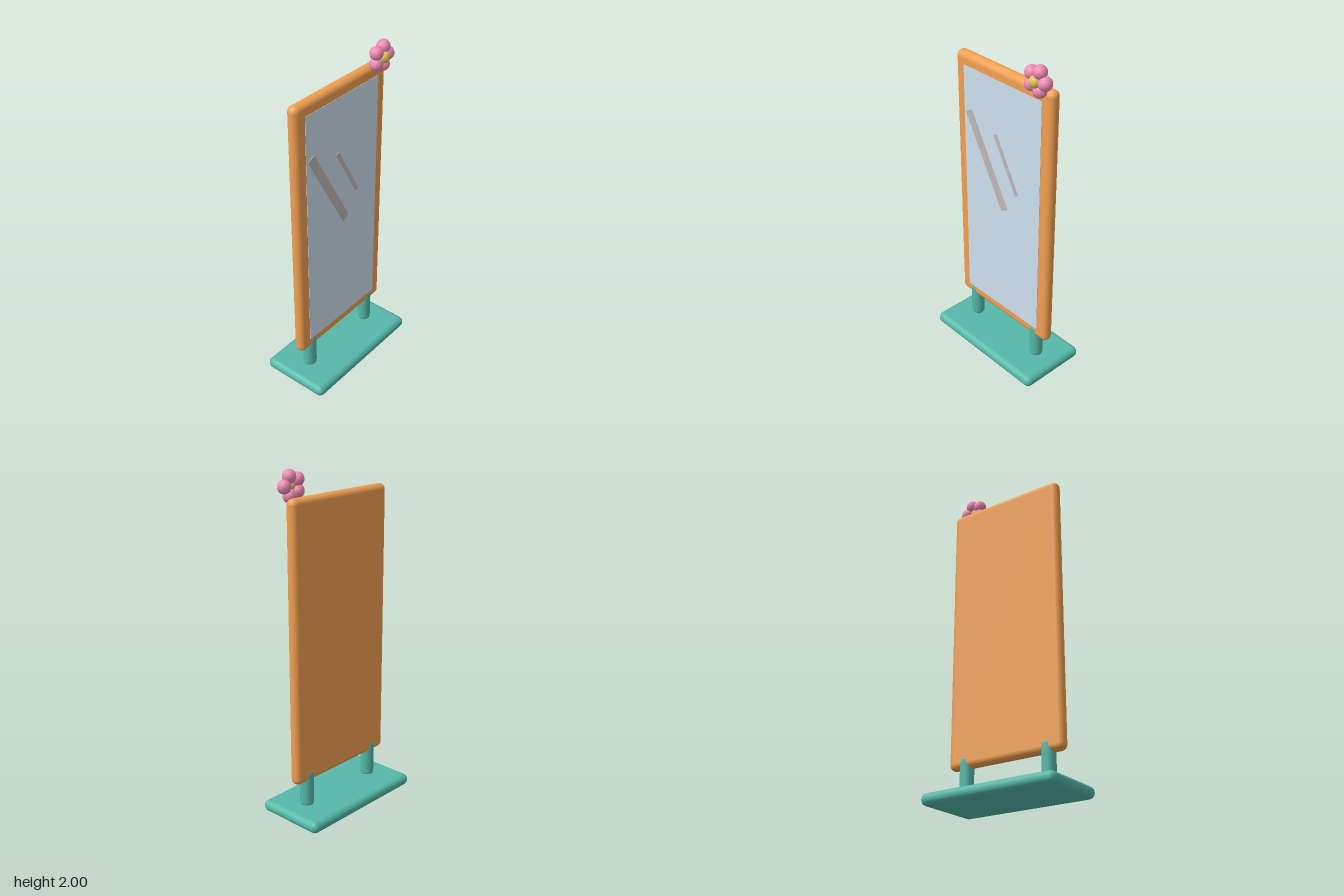
import * as THREE from 'three';
import { RoundedBoxGeometry } from 'three/addons/geometries/RoundedBoxGeometry.js';

const material = (color) => new THREE.MeshStandardMaterial({ color });

export function createModel() {
  const model = new THREE.Group();
  model.name = 'standingMirror';

  const teal = material(0x55b8a9);
  const orange = material(0xf2a052);
  const glass = material(0xcde0ee);
  const shine = material(0xc0b9b6);
  const pink = material(0xf08cb4);
  const yellow = material(0xe8bf55);

  function add(name, geometry, mat, x, y, z, parent = model) {
    const mesh = new THREE.Mesh(geometry, mat);
    mesh.name = name;
    mesh.position.set(x, y, z);
    parent.add(mesh);
    return mesh;
  }

  // Foot plate and the two round-ended posts
  add('base', new RoundedBoxGeometry(0.84, 0.07, 0.43, 4, 0.034), teal, 0, 0.035, 0);
  const post = new THREE.CapsuleGeometry(0.04, 0.18, 6, 16);
  for (const side of [-1, 1]) {
    add(side > 0 ? 'leftPost' : 'rightPost', post, teal, side * 0.265, 0.175, 0);
  }

  // Solid frame panel with the glass set on its front
  add('frame', new RoundedBoxGeometry(0.744, 1.636, 0.07, 4, 0.034), orange, 0, 1.04, 0);
  add('mirrorGlass', new THREE.BoxGeometry(0.6, 1.5, 0.01), glass, 0, 1.04, 0.032);

  // Slanted shine streaks: x, y, width, length
  const streaks = [[-0.12, 1.265, 0.055, 0.6], [0.037, 1.303, 0.026, 0.36]];
  for (const [x, y, width, length] of streaks) {
    const streak = add('shineStreak', new THREE.BoxGeometry(width, length, 0.004), shine, x, y, 0.038);
    streak.rotation.z = 0.5;
  }

  // Flower on the top left corner
  const flower = new THREE.Group();
  flower.name = 'flower';
  flower.position.set(0.29, 1.911, 0.059);
  model.add(flower);
  const petal = new THREE.SphereGeometry(0.0385, 12, 10);
  for (let i = 0; i < 5; i++) {
    const a = (i / 5) * Math.PI * 2;
    add('petal', petal, pink, 0.053 * Math.cos(a), 0.053 * Math.sin(a), 0, flower);
  }
  add('flowerCentre', new THREE.SphereGeometry(0.034, 12, 10), yellow, 0, 0, 0.018, flower);

  return model;
}
